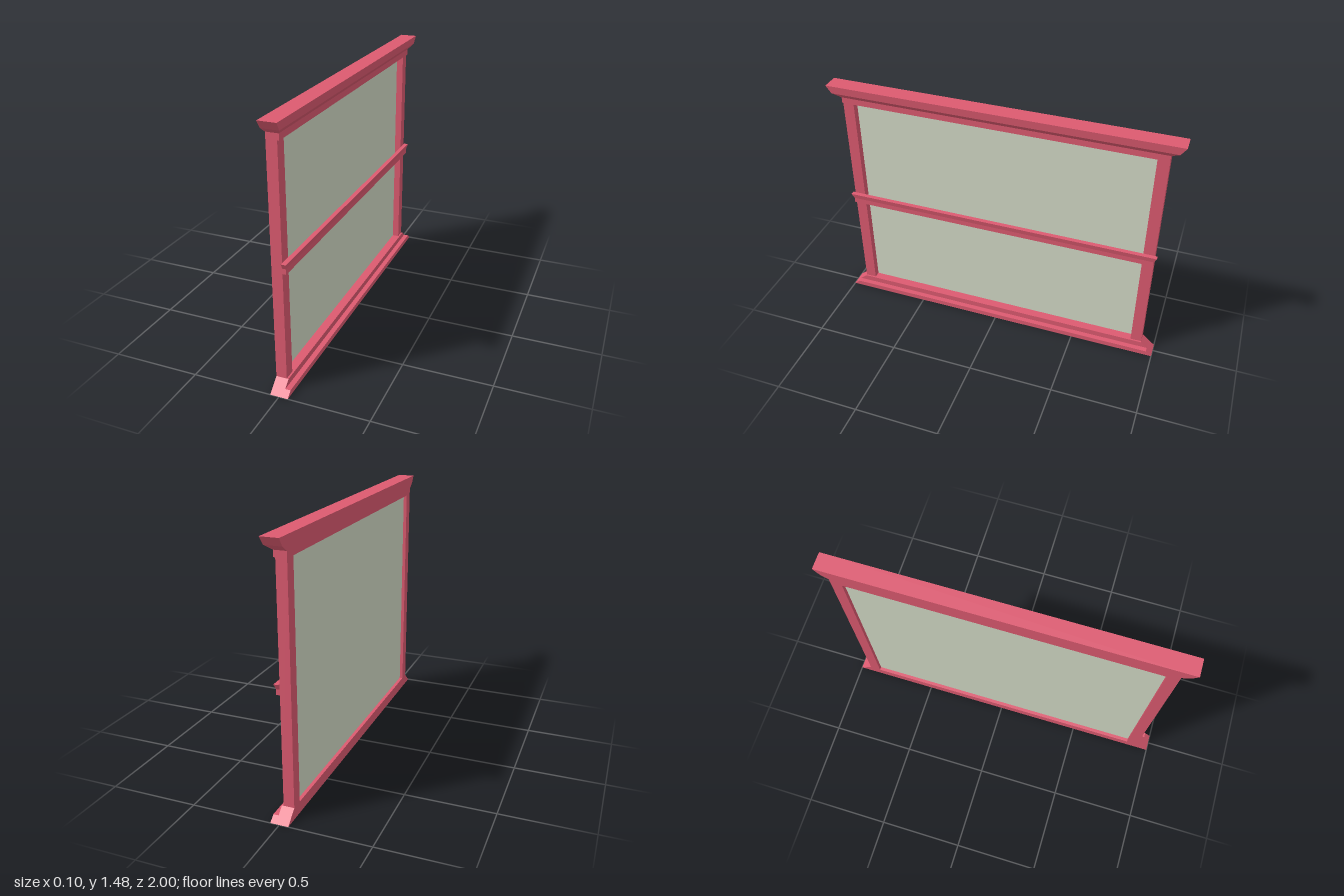
import * as THREE from 'three';

const frameMaterial = new THREE.MeshStandardMaterial({ color: 0xdc5a70 });
const paneMaterial = new THREE.MeshStandardMaterial({ color: 0xd3dac6, side: THREE.DoubleSide });

// Closed moulding from stacked rectangles: each level is [y, xBack, xFront, halfLength]
function moulding(name, levels) {
  const rings = levels.map(([y, x0, x1, h]) => [[x0, y, h], [x1, y, h], [x1, y, -h], [x0, y, -h]]);
  const points = [];
  const quad = (a, b, c, d) => points.push(...a, ...b, ...c, ...a, ...c, ...d);
  for (let k = 0; k < rings.length - 1; k++) {
    for (let i = 0; i < 4; i++) {
      const j = (i + 1) % 4;
      quad(rings[k][i], rings[k][j], rings[k + 1][j], rings[k + 1][i]);
    }
  }
  quad(...rings[0].slice().reverse());
  quad(...rings[rings.length - 1]);
  const geometry = new THREE.BufferGeometry();
  geometry.setAttribute('position', new THREE.Float32BufferAttribute(points, 3));
  geometry.computeVertexNormals();
  const mesh = new THREE.Mesh(geometry, frameMaterial);
  mesh.name = name;
  return mesh;
}

export function createModel() {
  const model = new THREE.Group();
  model.name = 'framedPanel';

  // Stepped base with splayed ends
  model.add(moulding('base', [
    [0, -0.05, 0.05, 1],
    [0.03, -0.05, 0.05, 0.965],
    [0.03, -0.05, 0.02, 0.965],
    [0.065, -0.05, 0.02, 0.925],
  ]));

  // Crown: header strip, chamfer and flared cap
  model.add(moulding('crown', [
    [1.365, -0.05, 0.02, 0.925],
    [1.4, -0.05, 0.02, 0.925],
    [1.43, -0.05, 0.046, 0.97],
    [1.475, -0.05, 0.05, 1],
  ]));

  // Middle rail with a flared top edge
  model.add(moulding('middleRail', [
    [0.68, 0.01, 0.03, 0.925],
    [0.71, 0.01, 0.03, 0.925],
    [0.74, 0.01, 0.036, 0.94],
  ]));

  // Side posts
  for (const side of [1, -1]) {
    const post = new THREE.Mesh(new THREE.BoxGeometry(0.06, 1.335, 0.065), frameMaterial);
    post.name = side > 0 ? 'frontPost' : 'backPost';
    post.position.set(-0.02, 0.7325, side * 0.8925);
    model.add(post);
  }

  // Thin pane set back in the frame
  const pane = new THREE.Mesh(new THREE.PlaneGeometry(1.72, 1.3), paneMaterial);
  pane.name = 'pane';
  pane.rotation.y = Math.PI / 2;
  pane.position.set(-0.03, 0.715, 0);
  model.add(pane);

  return model;
}
